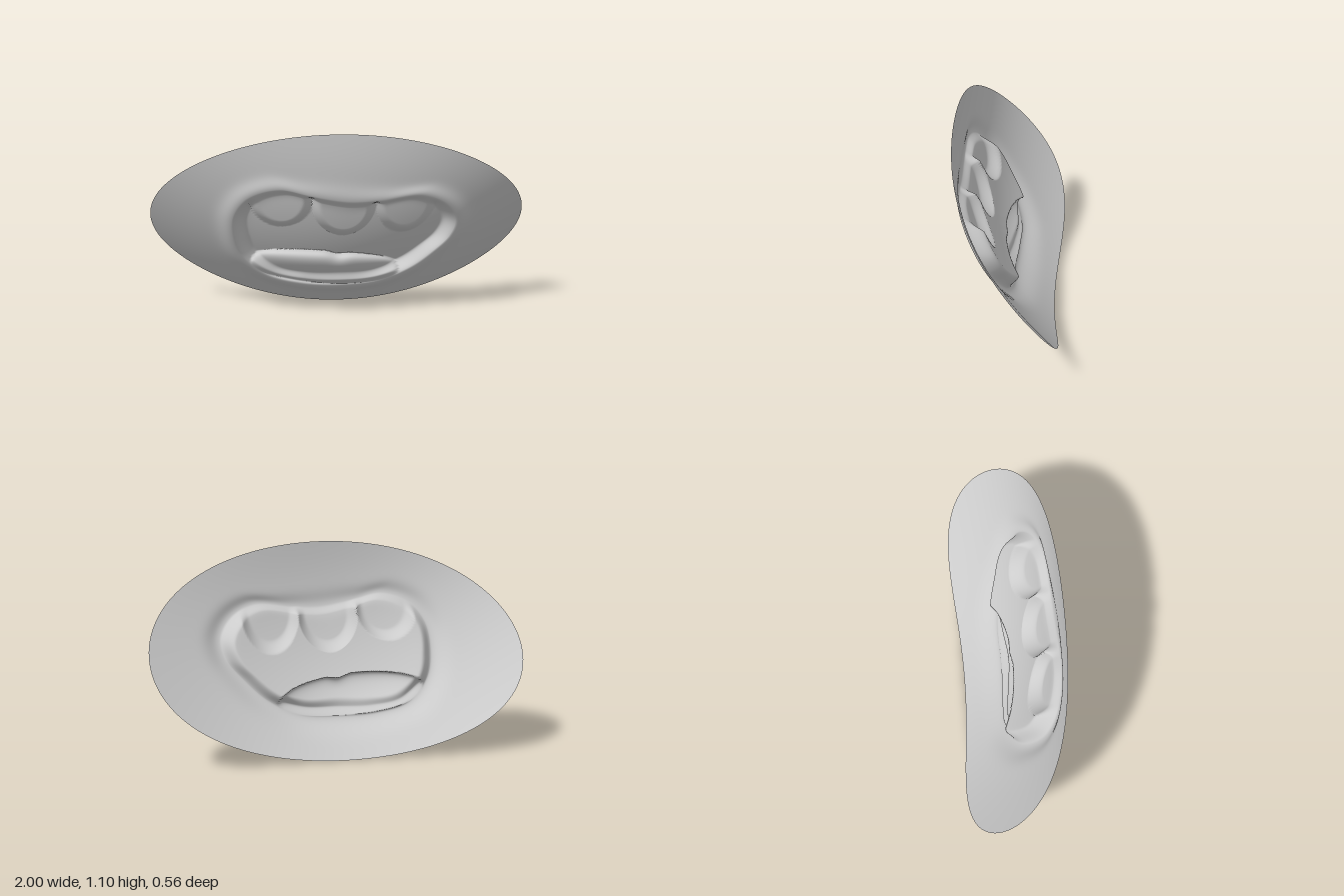
import * as THREE from 'three';

const { smoothstep } = THREE.MathUtils;
const RX = 1, RY = 0.5525;                       // outer oval
const CENTER = new THREE.Vector2(0, 0.49);       // where the rays of the sheet start
const COLS = 256, INNER = 80, OUTER = 36;

// Edge of the mouth opening, counter-clockwise from the left corner
const OPENING = [
  [0.61, 0.6], [0.55, 0.7], [0.42, 0.765], [0.2, 0.745], [0.05, 0.74], [-0.12, 0.77],
  [-0.3, 0.81], [-0.45, 0.76], [-0.53, 0.65], [-0.54, 0.5], [-0.5, 0.37], [-0.38, 0.25],
  [-0.2, 0.2], [0, 0.19], [0.22, 0.21], [0.39, 0.29], [0.51, 0.4], [0.59, 0.5],
];
// Teeth: centre x, top y, half width, length
const TEETH = [[-0.3, 0.75, 0.165, 0.18], [0.025, 0.72, 0.165, 0.205], [0.345, 0.74, 0.16, 0.22]];

// Leaning, bowed sheet that carries the face of the mouth
function sheet(x, y) {
  const drop = Math.max(0, 1.105 - y) / 1.105;
  return 0.28 - 0.52 * Math.pow(drop, 2.4) - (0.45 - 0.32 * y) * x * x;
}

// Rounded upper teeth
function teeth(x, y) {
  let h = 0;
  for (const [cx, cy, w, l] of TEETH) {
    const d = 1 - Math.hypot((x - cx) / w, Math.min(0, y - cy) / l);
    h = Math.max(h, 0.052 * Math.sqrt(smoothstep(d, 0, 0.3)));
  }
  return h;
}

// Tongue: a slightly tilted pillow with a notch at the middle of its top
function tongue(x, y) {
  const u = (x + 0.07) / 0.4;
  const v = (y - 0.3 + 0.07 * (x + 0.07)) / 0.105;
  const q = u * u + Math.pow(Math.abs(v), 2.2);
  const notch = 0.3 * Math.exp(-((x / 0.05) ** 2)) * smoothstep(v, 0, 1);
  return 0.092 * Math.sqrt(Math.max(0, 1 - q - notch));
}

// Distance from CENTER along direction d to the outer oval
function rimDistance(d) {
  const oy = CENTER.y - RY;
  const a = (d.x / RX) ** 2 + (d.y / RY) ** 2;
  const b = (d.y * oy) / RY ** 2;
  const c = (oy / RY) ** 2 - 1;
  return (-b + Math.sqrt(b * b - a * c)) / a;
}

function mouthGeometry() {
  const curve = new THREE.CatmullRomCurve3(
    OPENING.map(([x, y]) => new THREE.Vector3(x, y, 0)), true);
  const rings = INNER + OUTER;
  const pos = [], index = [];

  for (let i = 0; i < COLS; i++) {
    const p = curve.getPointAt(i / COLS);
    const d = new THREE.Vector2(p.x, p.y).sub(CENTER);
    const edge = d.length();
    d.normalize();
    const rim = rimDistance(d);
    const wall = 0.075 - 0.04 * Math.max(0, d.y);      // softness of the inner lip
    const ridge = 0.026 - 0.012 * d.y;                 // height of the lip

    for (let j = 0; j <= rings; j++) {
      const r = j <= INNER
        ? edge * Math.pow(j / INNER, 0.85)
        : edge + (rim - edge) * Math.pow((j - INNER) / OUTER, 1.4);
      const x = CENTER.x + d.x * r, y = CENTER.y + d.y * r;
      const inside = smoothstep(edge - r, -0.01, wall);
      const lip = ridge * Math.exp(-(((r - edge - 0.025) / 0.055) ** 2));
      const bulge = tongue(x, y) * smoothstep(edge - r, -0.01, 0.03);
      const z = sheet(x, y) + lip - inside * (0.072 - teeth(x, y)) + bulge;
      pos.push(x, y + 0.2 * bulge, z);
    }
  }
  const row = rings + 1;
  for (let i = 0; i < COLS; i++) {
    const a = i * row, b = ((i + 1) % COLS) * row;
    for (let j = 0; j < rings; j++) {
      if (j > 0) index.push(a + j, b + j + 1, b + j);
      index.push(a + j, a + j + 1, b + j + 1);
    }
  }
  const g = new THREE.BufferGeometry();
  g.setAttribute('position', new THREE.Float32BufferAttribute(pos, 3));
  g.setIndex(index);
  g.computeVertexNormals();
  return g;
}

export function createModel() {
  const group = new THREE.Group();
  group.name = 'mouth';
  // One continuous sheet: skin, lips, teeth and tongue
  const mesh = new THREE.Mesh(mouthGeometry(),
    new THREE.MeshStandardMaterial({ color: 0xcccccc, side: THREE.DoubleSide }));
  mesh.name = 'mouthSheet';
  group.add(mesh);
  return group;
}
